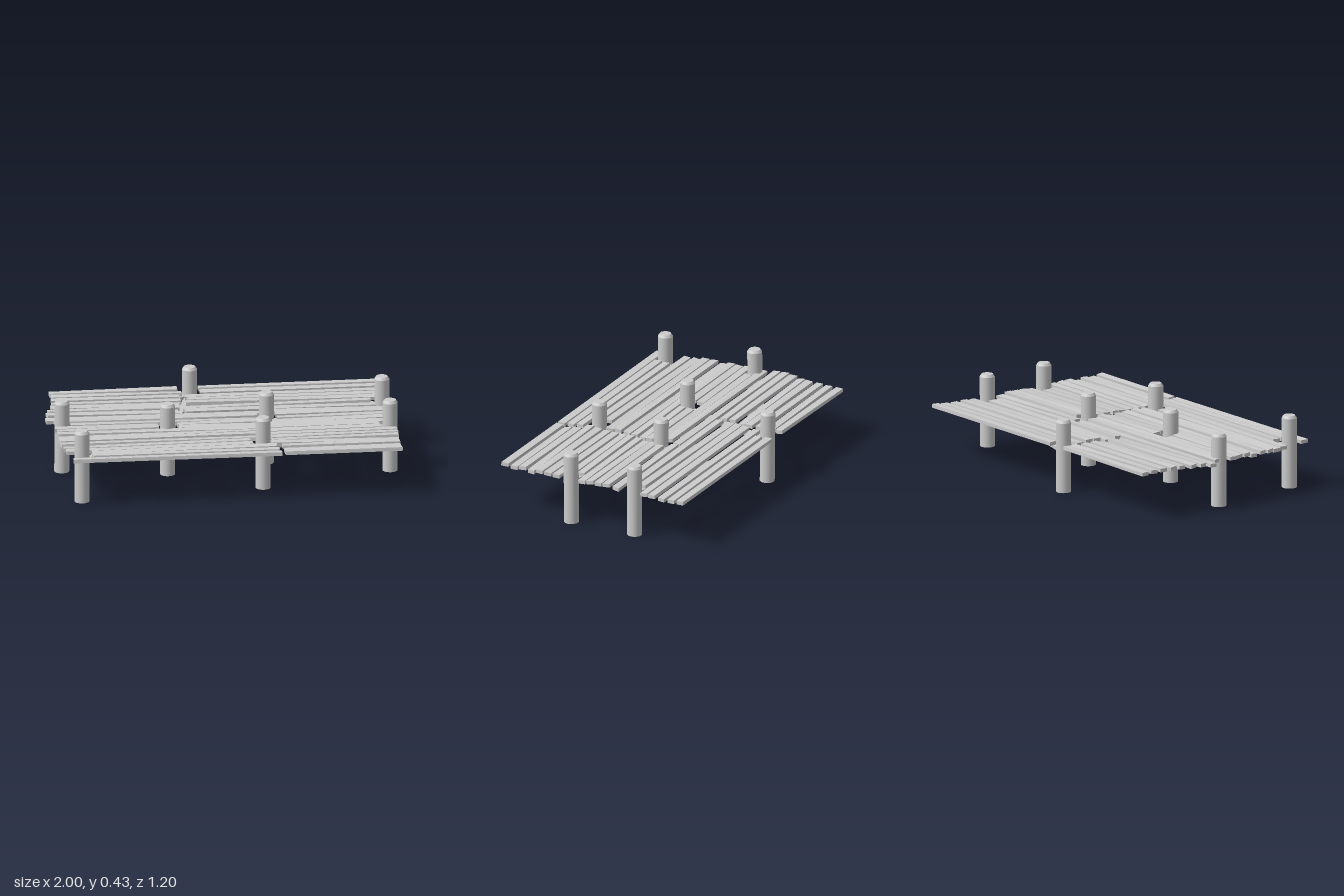
import * as THREE from 'three';

const material = new THREE.MeshStandardMaterial({ color: 0xcccccc });

// Seeded noise in the range -1..1
let seed = 7;
function noise() {
  seed = (seed * 16807) % 2147483647;
  return (seed / 2147483647) * 2 - 1;
}

function addMesh(parent, name, geometry) {
  const mesh = new THREE.Mesh(geometry, material);
  mesh.name = name;
  parent.add(mesh);
  return mesh;
}

// Posts: x, z at mid height
const posts = {
  back: [-0.13, -0.54], rightBack: [0.93, -0.25], rightFront: [0.93, 0.155],
  innerBack: [0.25, -0.06], innerFront: [0.18, 0.37], middle: [-0.33, 0.075],
  leftBack: [-0.92, -0.045], leftFront: [-0.87, 0.505],
};

// Round post with a chamfered top; corner points are doubled to keep edges crisp
function postGeometry() {
  const r = 0.043, h = 0.422;
  const profile = [
    [0, 0], [r, 0], [r, 0], [r, h - 0.015], [r, h - 0.015],
    [r - 0.01, h], [r - 0.01, h], [0, h],
  ].map(([x, y]) => new THREE.Vector2(x, y));
  return new THREE.LatheGeometry(profile, 20);
}

// Beams: start post, end post, start height, end height, overshoot past the end
const beams = [
  ['leftBack', 'back', 0.235, 0.252, 0],
  ['back', 'rightBack', 0.237, 0.252, 0],
  ['back', 'middle', 0.245, 0.245, 0],
  ['middle', 'leftFront', 0.24, 0.252, 0],
  ['middle', 'innerFront', 0.232, 0.24, 0],
  ['innerFront', 'innerBack', 0.24, 0.25, 0.12],
  ['innerBack', 'rightFront', 0.25, 0.252, 0],
  ['innerFront', 'rightFront', 0.24, 0.25, 0],
];

function addBeam(parent, [from, to, y0, y1, extra]) {
  const a = new THREE.Vector3(posts[from][0], y0, posts[from][1]);
  const b = new THREE.Vector3(posts[to][0], y1, posts[to][1]);
  b.addScaledVector(b.clone().sub(a).normalize(), extra);
  const beam = addMesh(parent, 'supportBeam', new THREE.BoxGeometry(0.04, 0.02, a.distanceTo(b)));
  beam.position.copy(a).lerp(b, 0.5);
  beam.lookAt(b);
}

// Plank rows from back to front: z, then start and end x of each board
const rows = [
  [-0.578, -0.93, -0.2, -0.08, 1.0],
  [-0.515, -0.93, -0.18, -0.08, 0.995],
  [-0.45, -0.935, -0.2, -0.17, 0.99],
  [-0.383, -0.94, -0.2, -0.17, 0.98],
  [-0.332, -0.95, -0.21, -0.18, 0.975],
  [-0.267, -0.975, -0.22, -0.2, 0.87],
  [-0.205, -0.99, -0.23, -0.2, 0.89],
  [-0.143, -1.0, 0.22, 0.24, 0.96],
  [-0.083, -0.96, 0.2, 0.3, 0.96],
  [-0.028, -0.87, 0.22, 0.3, 0.96],
  [0.023, -0.97, -0.38, -0.27, 0.24, 0.27, 0.96],
  [0.073, -0.96, -0.38, -0.27, 0.23, 0.25, 0.96],
  [0.128, -0.965, 0.22, 0.24, 0.87],
  [0.18, -0.965, 0.22, 0.24, 0.88],
  [0.237, -0.97, 0.21, 0.24, 0.96],
  [0.292, -0.97, 0.21, 0.23, 0.96],
  [0.35, -0.96, 0.11, 0.23, 0.955],
  [0.405, -0.95, 0.12, 0.22, 0.955],
  [0.46, -0.81, 0.25, 0.28, 0.95],
  [0.515, -0.81, 0.26, 0.285, 0.95],
  [0.573, -0.93, 0.265, 0.285, 0.95],
];

// Board with skewed ends, each end having its own height, drift and roll
function plankGeometry(x0, x1, z) {
  const geo = new THREE.BoxGeometry(1, 0.021, 0.043);
  const ends = [0, 1].map(() => ({
    lift: noise() * 0.007, drift: noise() * 0.003, roll: noise() * 0.12, skew: noise() * 0.2,
  }));
  const p = geo.attributes.position;
  for (let i = 0; i < p.count; i++) {
    const isEnd = p.getX(i) > 0;
    const e = ends[isEnd ? 1 : 0];
    const y = p.getY(i), w = p.getZ(i);
    const cut = (isEnd ? -1 : 1) * Math.abs(e.skew) * 0.021;
    p.setXYZ(i, (isEnd ? x1 : x0) + cut + w * e.skew,
      0.27 + e.lift + y + w * e.roll, z + w + e.drift - y * e.roll);
  }
  const flat = geo.toNonIndexed();
  flat.computeVertexNormals();
  return flat;
}

export function createModel() {
  const model = new THREE.Group();
  model.name = 'woodenPlatform';

  const postGroup = new THREE.Group();
  postGroup.name = 'posts';
  const postGeo = postGeometry();
  for (const [name, [x, z]] of Object.entries(posts)) {
    const post = addMesh(postGroup, name + 'Post', postGeo);
    post.position.set(x, name === 'leftFront' ? 0.008 : 0, z);
    post.rotation.set(noise() * 0.008, 0, noise() * 0.005);
  }

  const beamGroup = new THREE.Group();
  beamGroup.name = 'supportBeams';
  beams.forEach((beam) => addBeam(beamGroup, beam));

  const deck = new THREE.Group();
  deck.name = 'deck';
  for (const [z, ...xs] of rows) {
    for (let i = 0; i < xs.length; i += 2) {
      addMesh(deck, 'plank', plankGeometry(xs[i], xs[i + 1], z));
    }
  }

  model.add(postGroup, beamGroup, deck);
  return model;
}
